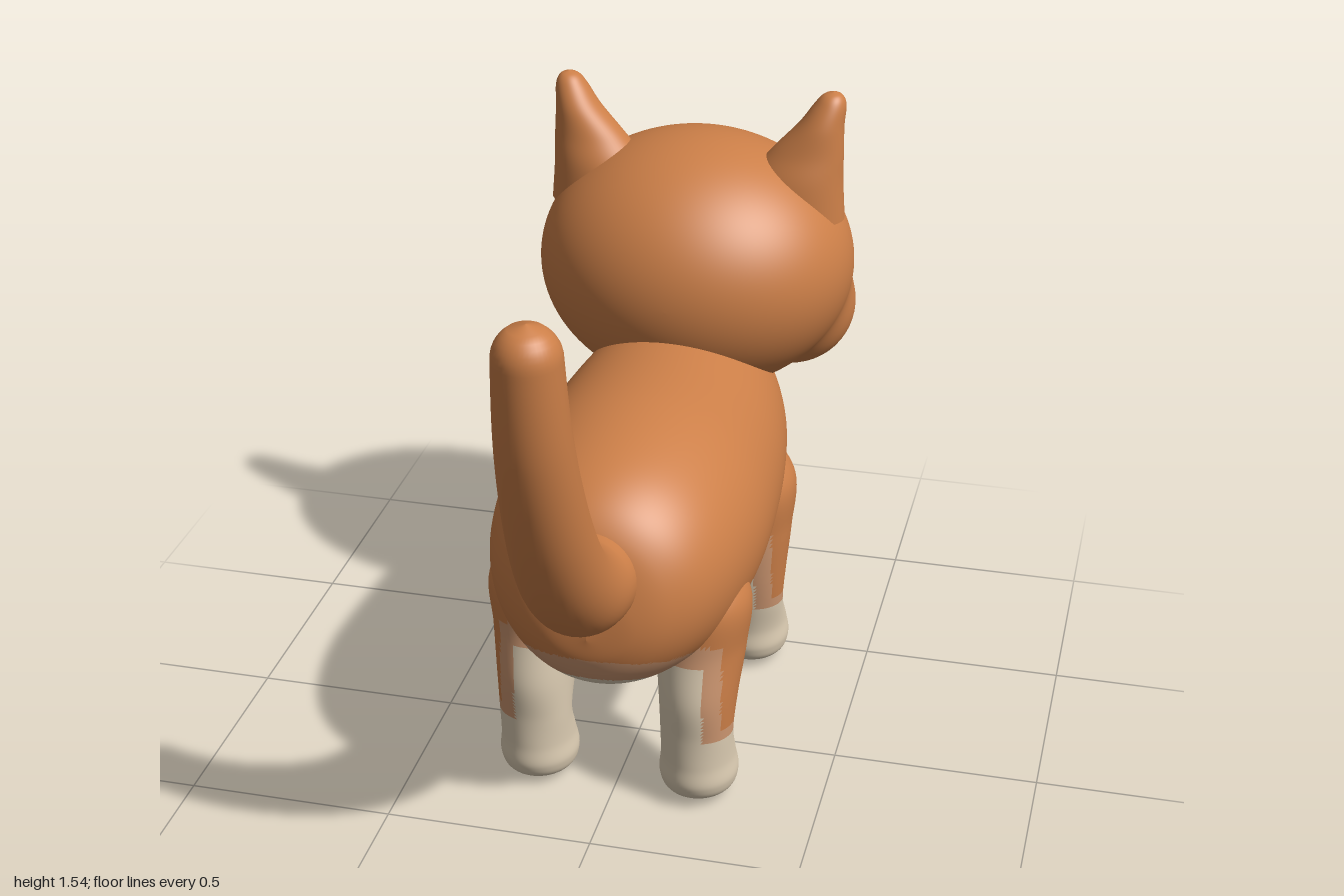
import * as THREE from 'three';

const paint = (name, color) => Object.assign(new THREE.MeshStandardMaterial({ color }), { name });
const orange = paint('orange fur', 0xcc7f48);
const blend = paint('pale orange fur', 0xcf9872);
const cream = paint('cream fur', 0xdfcfb5);
const black = paint('eye black', 0x0c0c0c);
const pink = paint('nose pink', 0xcf9078);
const grey = paint('whisker grey', 0x3a3a3a);
const fur = [orange, blend, cream];

// Closed skin from fn(angle, t) -> [x, y, z], wrapped around the angle
function skin(around, along, fn) {
  const pos = [], idx = [];
  for (let j = 0; j <= along; j++)
    for (let i = 0; i < around; i++) pos.push(...fn((i / around) * Math.PI * 2, j / along));
  for (let j = 0; j < along; j++)
    for (let i = 0; i < around; i++) {
      const a = j * around + i, b = j * around + (i + 1) % around;
      idx.push(a, b, b + around, a, b + around, a + around);
    }
  // Turn the faces outward, judged by the enclosed volume
  const p = (i) => new THREE.Vector3().fromArray(pos, i * 3);
  let volume = 0;
  for (let k = 0; k < idx.length; k += 3) volume += p(idx[k]).dot(p(idx[k + 1]).cross(p(idx[k + 2])));
  if (volume < 0) idx.reverse();
  const geo = new THREE.BufferGeometry();
  geo.setAttribute('position', new THREE.Float32BufferAttribute(pos, 3));
  geo.setIndex(idx);
  geo.computeVertexNormals();
  return geo;
}

// Sort faces into fur colours: rule(x, y, z) gives 0, 1 or 2
function furMesh(name, geo, rule) {
  const idx = geo.index.array, p = geo.attributes.position, lists = [[], [], []];
  for (let k = 0; k < idx.length; k += 3) {
    const f = [idx[k], idx[k + 1], idx[k + 2]];
    const mid = (get) => (p[get](f[0]) + p[get](f[1]) + p[get](f[2])) / 3;
    lists[rule(mid('getX'), mid('getY'), mid('getZ'))].push(...f);
  }
  geo.setIndex(lists.flat());
  let start = 0;
  lists.forEach((l, m) => { if (l.length) geo.addGroup(start, l.length, m); start += l.length; });
  return named(name, geo, fur);
}

function named(name, geo, mat) {
  const m = new THREE.Mesh(geo, mat);
  m.name = name;
  return m;
}

// Smooth lookup through rows of key values, t in 0..1
function keyed(rows) {
  const spline = new THREE.CubicInterpolant(rows.map((_, i) => i), rows.flat(), rows[0].length);
  return (t) => spline.evaluate(t * (rows.length - 1));
}

const shade = (f) => (f > 1 ? 0 : f > -1 ? 1 : 2);
// Belly line, climbing the chest toward the chin
const belly = (y, z) => (y - 0.43 - Math.max(0, -z - 0.5) - Math.max(0, z - 0.3) * 0.25) / 0.03;

// Body cross-sections: z, top, bottom, half width
const bodyKeys = keyed([
  [0.512, 0.59, 0.57, 0], [0.5, 0.7, 0.5, 0.11], [0.46, 0.82, 0.43, 0.19], [0.38, 0.895, 0.38, 0.255],
  [0.25, 0.94, 0.345, 0.3], [0.05, 0.962, 0.325, 0.322], [-0.2, 0.955, 0.325, 0.31],
  [-0.4, 0.95, 0.34, 0.285], [-0.52, 0.93, 0.37, 0.255], [-0.62, 0.9, 0.43, 0.215],
  [-0.72, 0.86, 0.56, 0.17], [-0.8, 0.8, 0.68, 0.1], [-0.83, 0.75, 0.73, 0],
]);

// Leg and ear cross-sections: x, y, z, x radius, z radius
const frontLegKeys = [
  [0.2, 0.66, -0.39, 0.05, 0.06], [0.205, 0.55, -0.39, 0.105, 0.125], [0.2, 0.42, -0.385, 0.105, 0.115],
  [0.2, 0.3, -0.38, 0.095, 0.092], [0.2, 0.2, -0.385, 0.088, 0.076], [0.2, 0.12, -0.425, 0.09, 0.1],
  [0.2, 0.06, -0.438, 0.095, 0.11], [0.2, 0.02, -0.44, 0.075, 0.085], [0.2, 0, -0.44, 0, 0],
];
const hindLegKeys = [
  [0.2, 0.66, 0.2, 0.05, 0.06], [0.205, 0.55, 0.2, 0.11, 0.12], [0.2, 0.42, 0.2, 0.108, 0.125],
  [0.2, 0.3, 0.228, 0.095, 0.108], [0.2, 0.2, 0.243, 0.088, 0.083], [0.2, 0.12, 0.222, 0.09, 0.1],
  [0.2, 0.06, 0.21, 0.095, 0.11], [0.2, 0.02, 0.205, 0.075, 0.085], [0.2, 0, 0.205, 0, 0],
];
const earKeys = [
  [0.225, 1.18, -0.615, 0.15, 0.1], [0.25, 1.28, -0.615, 0.118, 0.088], [0.277, 1.35, -0.615, 0.09, 0.068],
  [0.308, 1.42, -0.62, 0.057, 0.056], [0.327, 1.47, -0.628, 0.04, 0.042],
  [0.333, 1.495, -0.63, 0.024, 0.025], [0.335, 1.505, -0.63, 0, 0],
];
function limb(rows, side, around, along) {
  const at = keyed(rows);
  return skin(around, along, (a, t) => {
    const [x, y, z, rx, rz] = at(t);
    return [side * (x + rx * Math.cos(a)), y, z + rz * Math.sin(a)];
  });
}

// Head field: skull, two cheeks and muzzle softly joined
const lumps = [
  [0, 1.04, -0.62, 0.4, 0.33, 0.365], [0.23, 0.9, -0.72, 0.165, 0.165, 0.165],
  [0, 0.875, -0.88, 0.14, 0.105, 0.11],
];
function headField(x, y, z) {
  let d = 1;
  for (const [cx, cy, cz, rx, ry, rz] of lumps) {
    const e = (Math.hypot((Math.abs(x) - cx) / rx, (y - cy) / ry, (z - cz) / rz) - 1) * Math.min(rx, ry, rz);
    const h = Math.max(0.03 - Math.abs(d - e), 0) / 0.03;
    d = Math.min(d, e) - h * h * 0.0075;
  }
  return d;
}
function headPoint(a, t) {
  const s = Math.sin(t * Math.PI);
  const at = (r) => [r * s * Math.cos(a), 1.04 + r * s * Math.sin(a), -0.62 - r * Math.cos(t * Math.PI)];
  let lo = 0.1, hi = 0.7;
  for (let k = 0; k < 20; k++) {
    const m = (lo + hi) / 2;
    if (headField(...at(m)) < 0) lo = m; else hi = m;
  }
  return at(lo);
}

const inEar = (x, y, z) => Math.hypot((Math.abs(x) - 0.25) / 0.05, (y - 1.28) / 0.075, (z + 0.725) / 0.07) < 1;
// Cream mask around the muzzle, with a peak between the eyes
const inMask = (x, y, z) => z < -0.78 && (Math.hypot(x / 0.19, (y - 0.86) / 0.1) < 1
  || (y > 0.86 && y < 0.97 - Math.abs(x) * 0.6 && Math.abs(x) < 0.12));

export function createModel() {
  const cat = new THREE.Group();
  cat.name = 'cat';

  cat.add(furMesh('body', skin(120, 140, (a, t) => {
    const [z, top, bottom, w] = bodyKeys(t);
    return [w * Math.cos(a), (top + bottom) / 2 + ((top - bottom) / 2) * Math.sin(a), z];
  }), (x, y, z) => shade(belly(y, z))));

  cat.add(furMesh('head', skin(144, 120, headPoint),
    (x, y, z) => (inMask(x, y, z) ? 2 : inEar(x, y, z) ? 1 : 0)));

  // Tail tapering along a curve, with a rounded tip
  const path = new THREE.CatmullRomCurve3([[0.7, 0.4], [0.725, 0.54], [0.82, 0.67], [0.99, 0.79],
    [1.25, 0.895], [1.47, 0.932], [1.545, 0.935]].map(([y, z]) => new THREE.Vector3(0, y, z)));
  cat.add(named('tail', skin(40, 100, (a, t) => {
    const c = path.getPointAt(t), d = path.getTangentAt(t), cap = Math.max(0, (t - 0.935) / 0.065);
    const r = (0.115 - 0.045 * t) * Math.sqrt(Math.max(0, 1 - cap * cap));
    return [r * Math.cos(a), c.y + r * Math.sin(a) * d.z, c.z - r * Math.sin(a) * d.y];
  }), orange));

  for (const side of [1, -1]) {
    const label = side > 0 ? 'left' : 'right';

    // Orange runs down the outside of each leg only
    const legRule = (x, y, z) => shade(Math.max(belly(y, z),
      Math.min((Math.abs(x) - 0.25) / 0.02, (y - 0.215) / 0.012)));
    cat.add(furMesh(label + 'FrontLeg', limb(frontLegKeys, side, 64, 80), legRule));
    cat.add(furMesh(label + 'HindLeg', limb(hindLegKeys, side, 64, 80), legRule));
    cat.add(furMesh(label + 'Ear', limb(earKeys, side, 56, 56), (x, y, z) => (inEar(x, y, z) ? 1 : 0)));

    const eye = named(label + 'Eye', new THREE.SphereGeometry(1, 32, 20), black);
    eye.scale.set(0.056, 0.07, 0.009);
    eye.position.set(side * 0.172, 0.98, -0.942);
    eye.rotation.set(0.1, Math.PI - side * 0.46, 0, 'YXZ');
    cat.add(eye);

    // Whiskers fanning out from the muzzle
    for (const k of [-1, 0, 1]) {
      const curve = new THREE.QuadraticBezierCurve3(
        new THREE.Vector3(side * 0.12, 0.885 + k * 0.018, -0.93),
        new THREE.Vector3(side * 0.22, 0.895 + k * 0.022, -0.955),
        new THREE.Vector3(side * (0.3 + k * 0.01), 0.89 + k * 0.03, -0.915));
      cat.add(named(label + 'Whisker', new THREE.TubeGeometry(curve, 10, 0.0018, 5), grey));
    }
  }

  const nose = named('nose', new THREE.SphereGeometry(1, 24, 16), pink);
  nose.scale.set(0.024, 0.013, 0.012);
  nose.position.set(0, 0.912, -0.986);
  cat.add(nose);
  return cat;
}
